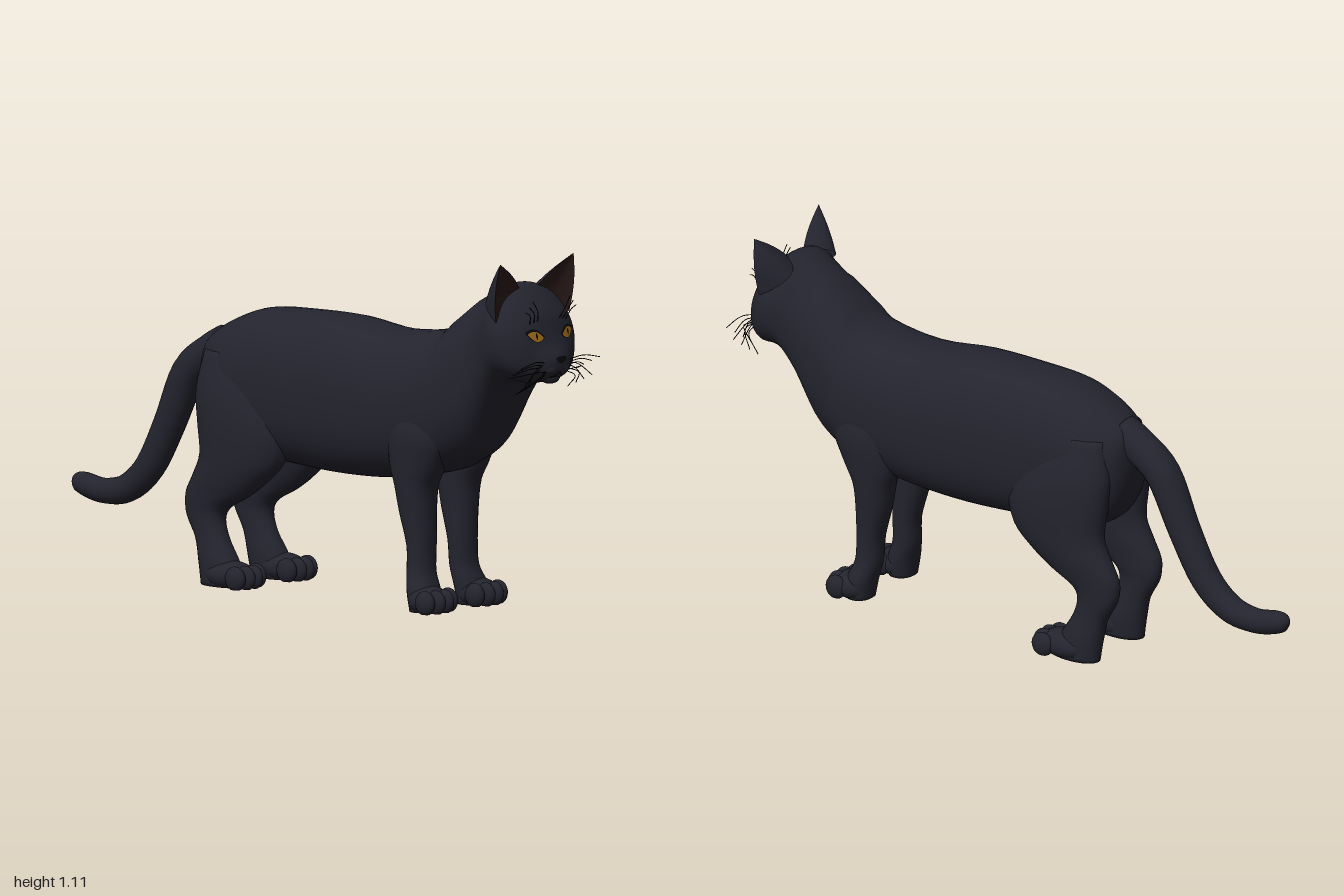
import * as THREE from 'three';

const mat = (name, color, extra = {}) => Object.assign(new THREE.MeshStandardMaterial({ color, ...extra }), { name });
const V = (x, y, z) => new THREE.Vector3(x, y, z);

// Smoothly resample a table of cross-section rows
function resample(rows, sub) {
  const out = [], last = rows.length - 1;
  for (let k = 0; k <= last * sub; k++) {
    const i = Math.min(Math.floor(k / sub), last - 1), t = k / sub - i;
    const [a, b, c, d] = [rows[Math.max(i - 1, 0)], rows[i], rows[i + 1], rows[Math.min(i + 2, last)]];
    out.push(b.map((_, j) => {
      const m0 = (c[j] - a[j]) / 2, m1 = (d[j] - b[j]) / 2, t2 = t * t, t3 = t2 * t;
      return (2 * t3 - 3 * t2 + 1) * b[j] + (t3 - 2 * t2 + t) * m0 + (3 * t2 - 2 * t3) * c[j] + (t3 - t2) * m1;
    }));
  }
  return out;
}

// Skin closed rings of points and cap both ends
function loft(rings) {
  const n = rings[0].length, pos = [], idx = [];
  rings.forEach(r => r.forEach(p => pos.push(p.x, p.y, p.z)));
  for (let r = 0; r < rings.length - 1; r++) {
    for (let i = 0; i < n; i++) {
      const a = r * n + i, b = r * n + (i + 1) % n;
      idx.push(a, b, a + n, b, b + n, a + n);
    }
  }
  [0, rings.length - 1].forEach((r, end) => {
    const c = rings[r].reduce((s, p) => s.add(p), V(0, 0, 0)).divideScalar(n);
    const ci = pos.length / 3;
    pos.push(c.x, c.y, c.z);
    for (let i = 0; i < n; i++) {
      const a = r * n + i, b = r * n + (i + 1) % n;
      end ? idx.push(a, b, ci) : idx.push(b, a, ci);
    }
  });
  const g = new THREE.BufferGeometry();
  g.setAttribute('position', new THREE.Float32BufferAttribute(pos, 3));
  g.setIndex(idx);
  g.computeVertexNormals();
  return g;
}

const ring = (n, fn) => Array.from({ length: n }, (_, i) => fn(i / n * Math.PI * 2));
const sp = (v, n) => Math.sign(v) * Math.pow(Math.abs(v), 2 / n);

// z, top, bottom, half width
const BODY = [
  [-0.425, 0.73, 0.64, 0.03], [-0.405, 0.755, 0.52, 0.085], [-0.36, 0.785, 0.44, 0.125], [-0.29, 0.82, 0.41, 0.152],
  [-0.19, 0.853, 0.40, 0.163], [-0.04, 0.862, 0.385, 0.168], [0.16, 0.862, 0.375, 0.17], [0.36, 0.84, 0.385, 0.17],
  [0.55, 0.862, 0.42, 0.172], [0.62, 0.91, 0.45, 0.168], [0.70, 0.972, 0.505, 0.152], [0.77, 1.012, 0.63, 0.15],
  [0.82, 1.03, 0.712, 0.165], [0.86, 1.02, 0.73, 0.168], [0.90, 0.985, 0.728, 0.155], [0.935, 0.938, 0.737, 0.122],
  [0.957, 0.87, 0.745, 0.085], [0.978, 0.832, 0.758, 0.05], [0.987, 0.815, 0.778, 0.02]];

// y, back z, front z, inner x, outer x
const FRONT_LEG = [
  [0.66, 0.43, 0.58, 0.08, 0.15], [0.55, 0.40, 0.62, 0.05, 0.177], [0.45, 0.40, 0.59, 0.035, 0.17],
  [0.38, 0.42, 0.555, 0.035, 0.162], [0.30, 0.435, 0.547, 0.04, 0.152], [0.20, 0.462, 0.545, 0.045, 0.143],
  [0.12, 0.466, 0.548, 0.05, 0.146], [0.06, 0.48, 0.57, 0.05, 0.165], [0, 0.49, 0.57, 0.06, 0.16]];
const HIND_LEG = [
  [0.72, -0.37, -0.14, 0.05, 0.14], [0.60, -0.395, -0.07, 0.03, 0.172], [0.50, -0.385, -0.03, 0.03, 0.182],
  [0.40, -0.375, -0.05, 0.04, 0.178], [0.33, -0.405, -0.12, 0.05, 0.17], [0.28, -0.432, -0.19, 0.06, 0.16],
  [0.24, -0.435, -0.265, 0.065, 0.153], [0.20, -0.425, -0.288, 0.07, 0.15], [0.14, -0.392, -0.272, 0.07, 0.15],
  [0.07, -0.375, -0.23, 0.065, 0.16], [0, -0.365, -0.20, 0.07, 0.16]];
// y, z, radius along the tail
const TAIL = [
  [0.73, -0.37, 0.055], [0.695, -0.43, 0.056], [0.62, -0.525, 0.056], [0.455, -0.605, 0.051], [0.315, -0.685, 0.048],
  [0.24, -0.775, 0.044], [0.222, -0.87, 0.039], [0.236, -0.95, 0.036], [0.245, -0.98, 0.026], [0.249, -0.997, 0.006]];

export function createModel() {
  const cat = new THREE.Group();
  cat.name = 'cat';
  const fur = mat('charcoal fur', 0x24242f);
  const amber = mat('amber eye', 0xa06c1a);
  const black = mat('black', 0x09090c);
  const earSkin = mat('brown inner ear', 0x2c1c1a, { side: THREE.DoubleSide });
  const earFur = mat('charcoal ear fur', 0x24242f, { side: THREE.DoubleSide });
  const add = (name, g, m) => {
    const mesh = new THREE.Mesh(g, m);
    mesh.name = name;
    cat.add(mesh);
    return mesh;
  };
  const ball = (name, x, y, z, rx, ry, rz) => {
    const g = new THREE.SphereGeometry(1, 20, 14).scale(rx, ry, rz).translate(x, y, z);
    const p = g.attributes.position;
    for (let i = 0; i < p.count; i++) p.setY(i, Math.max(0, p.getY(i)));
    g.computeVertexNormals();
    add(name, g, fur);
  };

  // Torso, neck and head in one skin; the crown is rounder than the belly
  const body = add('body', loft(resample(BODY, 4).map(([z, top, bot, w]) => ring(48, a => {
    const n = Math.sin(a) > 0 ? (z > 0.7 ? 2.1 : 2.3) : 2.5;
    return V(w * sp(Math.cos(a), n), (top + bot) / 2 + (top - bot) / 2 * sp(Math.sin(a), n), z);
  }))), fur);
  body.updateMatrixWorld();

  // Tail
  add('tail', loft((() => {
    const rows = resample(TAIL, 5);
    return rows.map(([y, z, r], k) => {
      const p = rows[Math.max(k - 1, 0)], q = rows[Math.min(k + 1, rows.length - 1)];
      const l = Math.hypot(q[0] - p[0], q[1] - p[1]), ty = (q[0] - p[0]) / l, tz = (q[1] - p[1]) / l;
      return ring(20, a => V(r * 0.95 * Math.cos(a), y + r * tz * Math.sin(a), z - r * ty * Math.sin(a)));
    });
  })()), fur);

  // Thin disc draped on the face
  const ray = new THREE.Raycaster();
  const faceZ = (x, y) => {
    ray.set(V(x, y, 2), V(0, 0, -1));
    const hit = ray.intersectObject(body)[0];
    return hit ? hit.point.z : 0.93;
  };
  const drape = (name, m, cx, cy, lift, shape) => {
    const g = new THREE.RingGeometry(0.001, 1, 28, 5), p = g.attributes.position;
    for (let i = 0; i < p.count; i++) {
      const [dx, dy] = shape(p.getX(i), p.getY(i));
      p.setXYZ(i, cx + dx, cy + dy, faceZ(cx + dx, cy + dy) + lift);
    }
    g.computeVertexNormals();
    add(name, g, m);
  };
  const strand = (name, pts, r) =>
    add(name, new THREE.TubeGeometry(new THREE.CatmullRomCurve3(pts), 10, r, 5), black);

  for (const s of [1, -1]) {
    const side = s > 0 ? 'left' : 'right';

    // Legs
    for (const [name, rows] of [['FrontLeg', FRONT_LEG], ['HindLeg', HIND_LEG]]) {
      add(side + name, loft(resample(rows, 4).map(([y, z0, z1, x0, x1]) => ring(24, a =>
        V(s * (x0 + x1) / 2 + (x1 - x0) / 2 * sp(Math.cos(a), 2.2), y, (z0 + z1) / 2 + (z1 - z0) / 2 * sp(Math.sin(a), 2.2))))), fur);
    }

    // Paws with four toes each
    ball(side + 'FrontPaw', s * 0.114, 0.035, 0.55, 0.066, 0.046, 0.062);
    ball(side + 'HindPaw', s * 0.118, 0.035, -0.25, 0.058, 0.046, 0.095);
    [-0.053, -0.019, 0.019, 0.053].forEach((dx, i) => {
      const fwd = i === 1 || i === 2 ? 0.014 : 0;
      ball(side + 'FrontToe', s * 0.114 + dx, 0.034, 0.583 + fwd, 0.022, 0.038, 0.036);
      ball(side + 'HindToe', s * 0.118 + dx * 0.9, 0.034, -0.191 + fwd, 0.021, 0.038, 0.038);
    });

    // Ear: furry back shell and brown hollow front
    const inner = V(s * 0.04, 1.015, 0.855), outer = V(s * 0.168, 0.925, 0.872), tip = V(s * 0.168, 1.107, 0.89);
    const earFace = (ctrl, bulge) => {
      const base = new THREE.QuadraticBezierCurve3(inner, ctrl, outer);
      const g = new THREE.PlaneGeometry(1, 1, 16, 12), p = g.attributes.position;
      for (let i = 0; i < p.count; i++) {
        const u = p.getX(i) + 0.5, v = p.getY(i) + 0.5;
        const q = base.getPoint(u).lerp(tip, v);
        const b = Math.sin(Math.PI * v);
        q.z += bulge * b * Math.sin(Math.PI * u);
        q.x += s * b * 0.012 * (2 * u - 1);
        p.setXYZ(i, q.x, q.y, q.z);
      }
      g.computeVertexNormals();
      return g;
    };
    add(side + 'EarBack', earFace(V(s * 0.13, 1.01, 0.72), -0.004), earFur);
    add(side + 'EarInside', earFace(V(s * 0.12, 0.965, 0.85), -0.008), earSkin);

    // Eye: dark rim, amber iris, slit pupil
    const almond = (w, h) => (x, y) => {
      const dx = x * w, dy = y * h * (1 - 0.55 * x * x) * (y > 0 ? 0.8 : 1);
      return [dx, dy + s * dx * 0.22];
    };
    drape(side + 'EyeRim', black, s * 0.072, 0.885, 0.002, almond(0.034, 0.022));
    drape(side + 'Iris', amber, s * 0.072, 0.882, 0.004, almond(0.028, 0.017));
    drape(side + 'Pupil', black, s * 0.071, 0.883, 0.006, almond(0.004, 0.012));

    // Muzzle pad and mouth line
    ball(side + 'MuzzlePad', s * 0.026, 0.778, 0.953, 0.034, 0.026, 0.033);
    strand(side + 'MouthLine', [V(0, 0.768, 0.984), V(s * 0.02, 0.755, 0.974), V(s * 0.045, 0.757, 0.955)], 0.002);

    // Whiskers fan out and droop
    for (let i = 0; i < 8; i++) {
      const y = 0.793 - (i % 4) * 0.009, x = 0.03 + (i > 3 ? 0.015 : 0);
      const ex = 0.182 - i * 0.009, ey = 0.795 - i * 0.013, ez = 0.985 - (i % 4) * 0.025;
      strand(side + 'Whisker', [V(s * x, y, 0.965), V(s * (x + ex) / 2, (y + ey) / 2 + 0.014, 0.982 - (i % 3) * 0.01), V(s * ex, ey, ez)], 0.0014);
    }
    for (let i = 0; i < 3; i++) {
      const x = 0.05 + i * 0.016, y = 0.925 - i * 0.004, z = faceZ(s * x, y);
      strand(side + 'BrowWhisker', [V(s * x, y, z), V(s * (x + 0.012), y + 0.03, z + 0.012), V(s * (x + 0.035), y + 0.065 - i * 0.012, z + 0.012)], 0.0014);
    }
  }

  // Chin and nose
  ball('chin', 0, 0.748, 0.943, 0.034, 0.02, 0.028);
  drape('nose', black, 0, 0.806, 0.003, (x, y) => [x * 0.02 * (1 + 0.5 * y), y * 0.011]);

  return cat;
}
